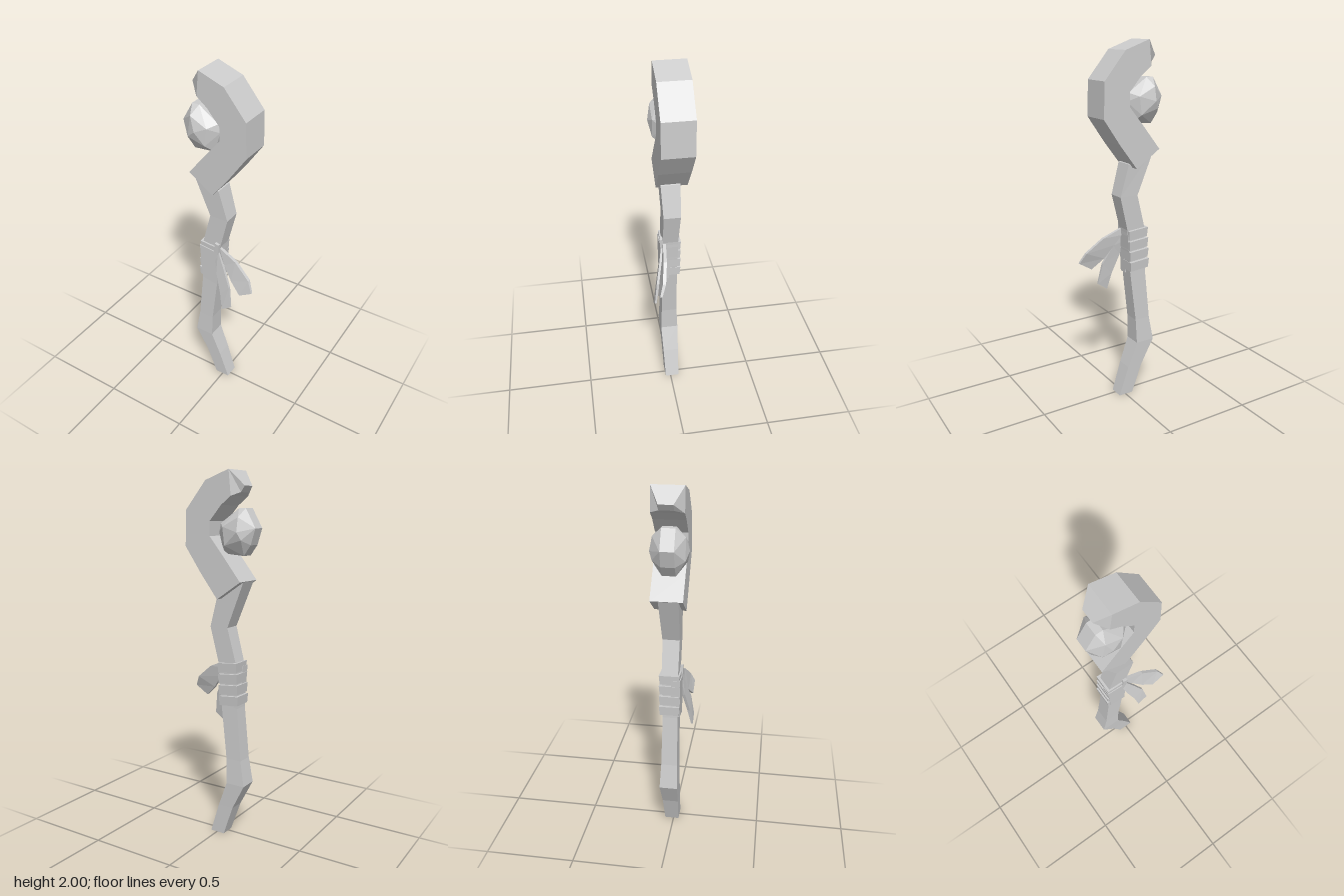
import * as THREE from 'three';
import { ConvexGeometry } from 'three/addons/geometries/ConvexGeometry.js';

// Four-sided loft. Each section: [leftX, leftY, rightX, rightY, frontZ, backZ],
// left and right being taken along the direction of travel.
function loft(sections) {
  const rings = sections.map(([lx, ly, rx, ry, f, b]) => [
    [lx, ly, f], [rx, ry, f], [rx, ry, b], [lx, ly, b],
  ]);
  const pos = [];
  const quad = (a, b, c, d) => pos.push(...a, ...b, ...c, ...a, ...c, ...d);
  for (let i = 0; i < rings.length - 1; i++) {
    for (let k = 0; k < 4; k++) {
      const n = (k + 1) % 4;
      quad(rings[i][k], rings[i][n], rings[i + 1][n], rings[i + 1][k]);
    }
  }
  const [s, e] = [rings[0], rings[rings.length - 1]];
  quad(s[3], s[2], s[1], s[0]);
  quad(e[0], e[1], e[2], e[3]);
  const geometry = new THREE.BufferGeometry();
  geometry.setAttribute('position', new THREE.Float32BufferAttribute(pos, 3));
  geometry.computeVertexNormals();
  return geometry;
}

export function createModel() {
  const group = new THREE.Group();
  const grey = new THREE.MeshStandardMaterial({ color: 0xcccccc });
  grey.name = 'plain grey';
  grey.flatShading = true;

  const add = (name, geometry, parent = group) => {
    const mesh = new THREE.Mesh(geometry, grey);
    mesh.name = name;
    parent.add(mesh);
  };

  // Crooked wooden shaft
  add('shaft', loft([
    [-0.045, 0, 0.04, 0, 0.03, -0.05],
    [-0.105, 0.17, -0.015, 0.17, 0.035, -0.055],
    [-0.18, 0.315, -0.07, 0.315, 0.04, -0.06],
    [-0.155, 0.457, -0.065, 0.457, 0.037, -0.053],
    [-0.128, 0.75, -0.028, 0.77, 0.035, -0.047],
    [-0.12, 1.0, -0.01, 1.0, 0.036, -0.05],
    [-0.07, 1.19, 0.037, 1.19, 0.038, -0.055],
    [-0.17, 1.437, -0.012, 1.365, 0.045, -0.06],
  ]));

  // Heavy hooked head with a tapered tip
  const F = 0.068, B = -0.102;
  add('hookedHead', loft([
    [-0.175, 1.44, -0.035, 1.345, F, B],
    [-0.08, 1.56, 0.067, 1.478, F, B],
    [0.01, 1.67, 0.162, 1.615, F, B],
    [0.01, 1.745, 0.157, 1.803, F, B],
    [-0.06, 1.825, 0.035, 1.95, F, B],
    [-0.118, 1.87, -0.105, 2.0, F, B],
    [-0.15, 1.888, -0.172, 1.92, 0.02, -0.055],
  ]));

  // Faceted stone floating in the hook
  const outline = [
    [-0.17, 1.81], [-0.13, 1.81], [-0.02, 1.735], [-0.01, 1.69],
    [-0.04, 1.58], [-0.16, 1.57], [-0.2, 1.625], [-0.227, 1.71],
  ];
  const cx = -0.122, cy = 1.69;
  const points = [new THREE.Vector3(cx, cy, 0.094), new THREE.Vector3(cx - 0.03, cy, -0.103)];
  for (const [z, scale] of [[0.03, 1], [-0.04, 1], [0.078, 0.62], [-0.088, 0.62]]) {
    outline.forEach(([x, y], i) => {
      if (scale < 1 && i % 2) return;
      points.push(new THREE.Vector3(cx + (x - cx) * scale, cy + (y - cy) * scale, z));
    });
  }
  add('stone', new ConvexGeometry(points));

  // Cloth wound around the grip
  const wrap = new THREE.Group();
  wrap.name = 'gripWrap';
  group.add(wrap);
  for (let i = 0; i < 4; i++) {
    const y = 0.765 + i * 0.061;
    const x = -0.078 + i * 0.003;
    add('wrapBand', loft([
      [x - 0.06, y + 0.005, x + 0.053, y - 0.005, 0.043, -0.062],
      [x - 0.064, y + 0.057, x + 0.055, y + 0.047, 0.045, -0.066],
    ]), wrap);
  }
  add('wrapFront', loft([
    [-0.122, 0.755, -0.026, 0.737, 0.046, 0],
    [-0.135, 0.98, -0.018, 0.965, 0.049, 0],
  ]), wrap);
  add('knot', loft([
    [-0.04, 0.965, -0.012, 0.965, 0.05, -0.05],
    [-0.035, 1.028, -0.01, 1.022, 0.052, -0.05],
  ]), wrap);

  // Two loose cloth ends hanging from the knot
  add('outerTail', loft([
    [-0.015, 0.995, -0.015, 0.955, 0.035, 0.018],
    [0.095, 0.948, 0.025, 0.9, 0.048, 0.03],
    [0.19, 0.872, 0.08, 0.825, 0.068, 0.05],
    [0.222, 0.812, 0.147, 0.765, 0.088, 0.075],
  ]));
  add('innerTail', loft([
    [-0.018, 0.975, -0.04, 0.92, 0.045, 0.025],
    [0.025, 0.89, -0.02, 0.84, 0.062, 0.045],
    [0.077, 0.785, 0.02, 0.72, 0.085, 0.07],
    [0.098, 0.663, 0.04, 0.622, 0.1, 0.09],
  ]));

  return group;
}
